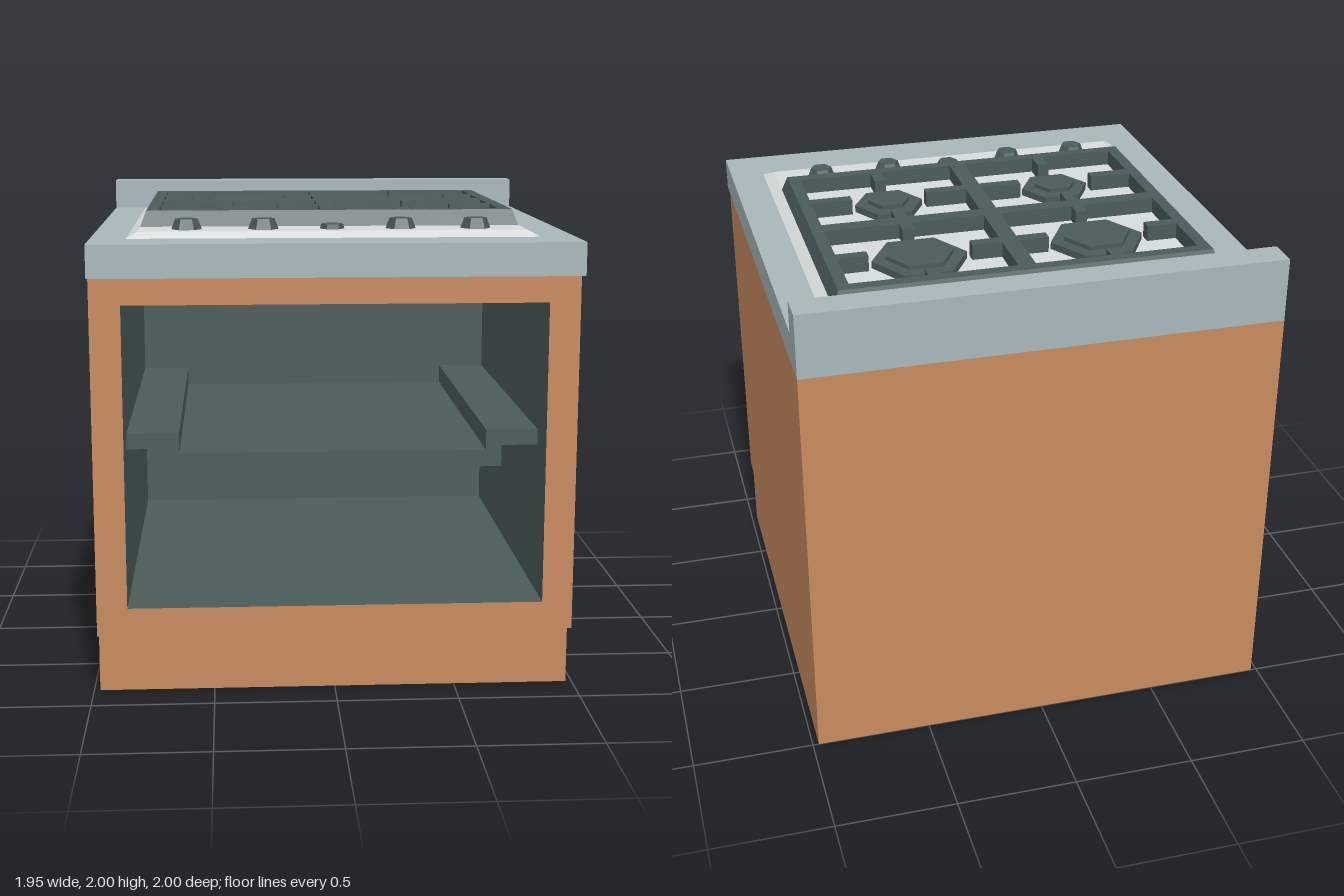
import * as THREE from 'three';

const mat = (color, side = THREE.FrontSide) => {
  const m = new THREE.MeshStandardMaterial({ flatShading: true, side });
  m.color.set(color);
  return m;
};

export function createModel() {
  const stove = new THREE.Group();
  stove.name = 'stove';
  const wood = mat(0xc98b5f), steel = mat(0xa8b7bc), dark = mat(0x4a5b5a), pale = mat(0xd7dcdb);
  const lining = mat(0x4a5b5a, THREE.BackSide);

  const add = (name, geometry, material, x = 0, y = 0, z = 0) => {
    const mesh = new THREE.Mesh(geometry, material);
    mesh.name = name;
    mesh.position.set(x, y, z);
    stove.add(mesh);
    return mesh;
  };

  // Box given by its limits; omit lists faces to leave out (0..5 = +x -x +y -y +z -z)
  const boxBetween = (x0, x1, y0, y1, z0, z1, omit = []) => {
    const g = new THREE.BoxGeometry(x1 - x0, y1 - y0, z1 - z0);
    g.translate((x0 + x1) / 2, (y0 + y1) / 2, (z0 + z1) / 2);
    const kept = Array.from(g.index.array).filter((_, i) => !omit.includes(Math.floor(i / 6)));
    g.setIndex(kept);
    g.clearGroups();
    return g;
  };

  const rect = (x0, x1, y0, y1, Type = THREE.Shape) => new Type(
    [[x0, y0], [x1, y0], [x1, y1], [x0, y1]].map(p => new THREE.Vector2(...p)));
  const polygon = pts => new THREE.Shape(pts.map(p => new THREE.Vector2(...p)));
  const extrude = (shape, depth) => new THREE.ExtrudeGeometry(shape, { depth, bevelEnabled: false });

  // Six-sided stud with its corners pointing along x
  const hex = (rTop, rBottom, h) =>
    new THREE.CylinderGeometry(rTop, rBottom, h, 6).rotateY(Math.PI / 6).translate(0, h / 2, 0);

  // Cabinet shell, front frame and recessed plinth
  const W = 0.975, front = 0.915;
  add('cabinetShell', boxBetween(-W, W, 0.265, 1.735, -1, front, [2, 4]), wood);
  const frame = rect(-W, W, 0.265, 1.735);
  frame.holes.push(rect(-0.85, 0.85, 0.38, 1.62, THREE.Path));
  add('frontFrame', new THREE.ShapeGeometry(frame), wood, 0, 0, front);
  add('plinth', boxBetween(-W, W, 0, 0.265, -1, 0.825, [2]), wood);

  // Oven cavity, seen from the inside
  add('ovenCavity', boxBetween(-0.85, 0.85, 0.38, 1.62, -0.87, front, [4]), lining);

  // Oven tray with raised side rails
  const tray = polygon([
    [-0.85, 1.0], [-0.7, 1.0], [-0.7, 0.91], [0.7, 0.91], [0.7, 1.0], [0.85, 1.0],
    [0.85, 1.065], [0.635, 1.065], [0.635, 0.98], [-0.635, 0.98], [-0.635, 1.065], [-0.85, 1.065]]);
  add('ovenTray', extrude(tray, 1.59), dark, 0, 0, -0.87);

  // Worktop with upstand: side profile (-z, y) drawn out across the width
  const profile = polygon([
    [-1, 1.735], [1, 1.735], [1, 2], [0.87, 2], [0.87, 1.868], [-1, 1.868]]);
  add('worktop', extrude(profile, 2 * W).rotateY(Math.PI / 2), steel, -W);

  // Hob plate with sloping edges
  const plateY = 1.892;
  const plate = boxBetween(-0.835, 0.835, 1.866, plateY, -0.815, 0.775, [3]);
  const pp = plate.attributes.position;
  for (let i = 0; i < pp.count; i++) {
    if (pp.getY(i) < 1.88) continue;
    pp.setX(i, pp.getX(i) - Math.sign(pp.getX(i)) * 0.047);
    pp.setZ(i, pp.getZ(i) - Math.sign(pp.getZ(i)) * 0.047);
  }
  plate.computeVertexNormals();
  add('hobPlate', plate, pale);

  // Pan grate: frame with four openings, outer walls leaning inward
  const grateY = 1.957, grateH = grateY - plateY;
  const grate = rect(-0.787, 0.787, -0.765, 0.502);
  for (const [x0, x1] of [[-0.713, -0.036], [0.036, 0.713]])
    for (const [z0, z1] of [[-0.69, -0.165], [-0.095, 0.43]])
      grate.holes.push(rect(x0, x1, z0, z1, THREE.Path));
  const grateGeo = extrude(grate, grateH).rotateX(Math.PI / 2).translate(0, grateY, 0);
  const gp = grateGeo.attributes.position;
  for (let i = 0; i < gp.count; i++) {
    if (gp.getY(i) < grateY - 0.01) continue;
    const x = gp.getX(i), z = gp.getZ(i);
    if (Math.abs(x) > 0.75) gp.setX(i, Math.sign(x) * 0.763);
    if (z < -0.75) gp.setZ(i, -0.74);
    if (z > 0.48) gp.setZ(i, 0.48);
  }
  grateGeo.computeVertexNormals();
  add('panGrate', grateGeo, dark);

  // Burners with four grate fingers pointing at each
  const cells = [
    { z: -0.43, r: 0.197, cap: 0.14, gapX: 0.213, gapZ: 0.2, z0: -0.69, z1: -0.165 },
    { z: 0.165, r: 0.147, cap: 0.09, gapX: 0.163, gapZ: 0.168, z0: -0.095, z1: 0.43 }];
  for (const s of [-1, 1]) for (const c of cells) {
    const x = s * 0.374, t = 0.025;
    add('burner', hex(c.r, c.r, 0.03), dark, x, plateY, c.z);
    add('burnerCap', hex(c.cap, c.cap, 0.018), dark, x, plateY + 0.03, c.z);
    const lo = s < 0 ? -0.713 : 0.036, hi = s < 0 ? -0.036 : 0.713;
    const fingers = [
      [lo, x - c.gapX, c.z - t, c.z + t], [x + c.gapX, hi, c.z - t, c.z + t],
      [x - t, x + t, c.z0, c.z - c.gapZ], [x - t, x + t, c.z + c.gapZ, c.z1]];
    for (const [x0, x1, z0, z1] of fingers)
      add('grateFinger', boxBetween(x0, x1, plateY, grateY, z0, z1), dark);
  }

  // Control knobs, the middle one smaller
  for (const x of [-0.593, -0.281, 0.281, 0.589])
    add('knob', hex(0.046, 0.062, 0.043), dark, x, plateY, 0.617);
  add('middleKnob', hex(0.045, 0.05, 0.02), dark, 0, plateY, 0.617);

  return stove;
}
